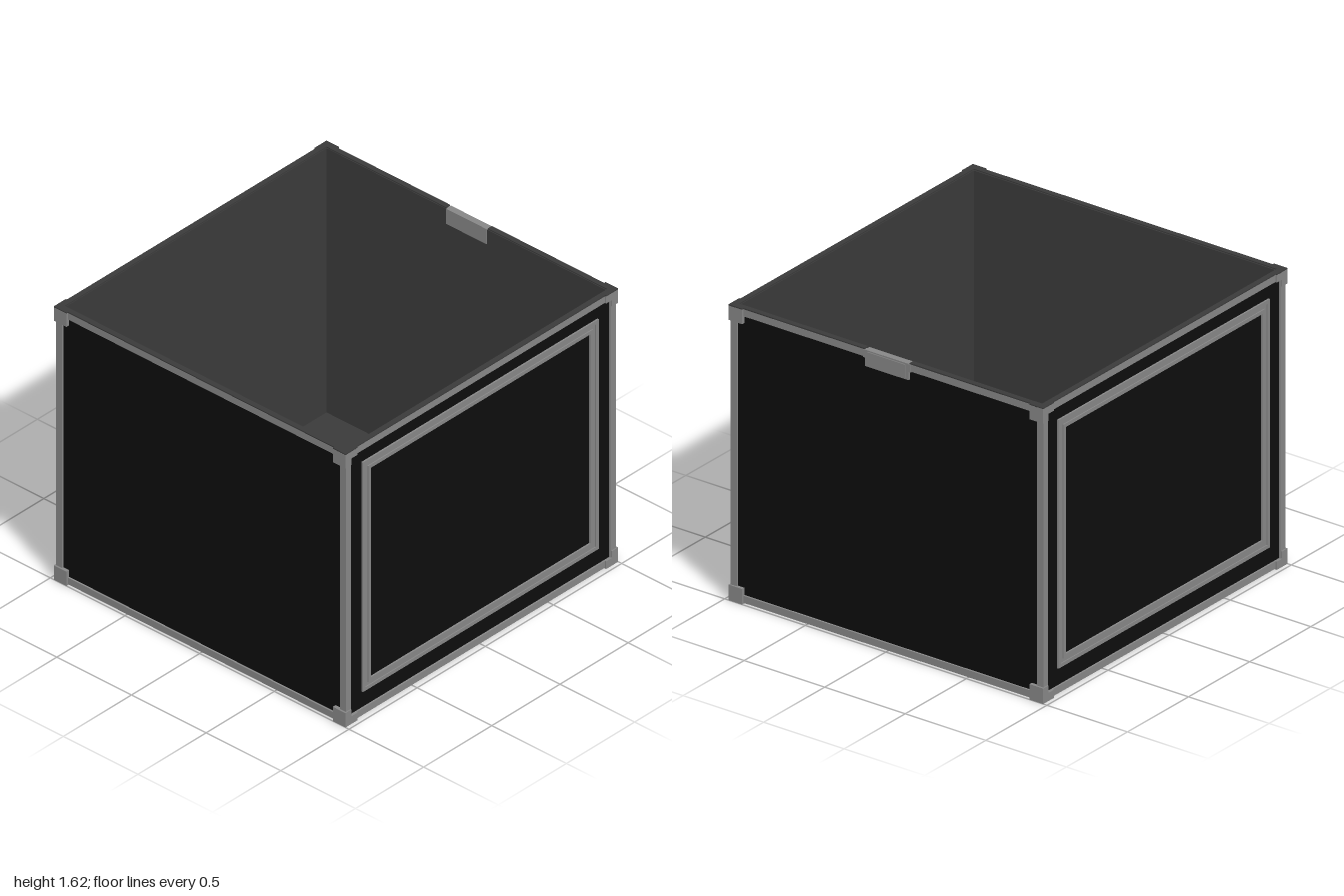
import * as THREE from 'three';

const black = new THREE.MeshStandardMaterial({ color: 0x0d0d0d });
black.name = 'black panel';
const grey = new THREE.MeshStandardMaterial({ color: 0x868686 });
grey.name = 'grey trim';
const dark = new THREE.MeshStandardMaterial({ color: 0x3a3a3a });
dark.name = 'dark lining';

// Box given by its minimum and maximum corners
function box(parent, name, mat, x0, x1, y0, y1, z0, z1) {
  const mesh = new THREE.Mesh(new THREE.BoxGeometry(x1 - x0, y1 - y0, z1 - z0), mat);
  mesh.position.set((x0 + x1) / 2, (y0 + y1) / 2, (z0 + z1) / 2);
  mesh.name = name;
  parent.add(mesh);
  return mesh;
}

// Rectangular ring in the XY plane, its back at z = 0
function ring(name, mat, w, h, border, depth) {
  const rect = (Path, a, b) => new Path([
    new THREE.Vector2(-a, -b), new THREE.Vector2(a, -b),
    new THREE.Vector2(a, b), new THREE.Vector2(-a, b)]);
  const shape = rect(THREE.Shape, w / 2, h / 2);
  shape.holes.push(rect(THREE.Path, w / 2 - border, h / 2 - border));
  const mesh = new THREE.Mesh(new THREE.ExtrudeGeometry(shape, { depth, bevelEnabled: false }), mat);
  mesh.name = name;
  return mesh;
}

export function createModel() {
  const model = new THREE.Group();
  model.name = 'openStorageCase';
  const top = 1.619, bottom = 0.006, mid = (top + bottom) / 2, tall = top - bottom;

  // Outer panels with a dark lining behind them
  for (const s of [-1, 1]) {
    const side = new THREE.Group();
    side.name = s > 0 ? 'leftWall' : 'rightWall';
    box(side, 'sidePanel', black, s * 0.975 - 0.005, s * 0.975 + 0.005, 0.02, 1.612, -0.955, 0.955);
    box(side, 'sideLining', dark, s * 0.965 - 0.005, s * 0.965 + 0.005, 0.03, 1.615, -0.95, 0.95);
    const end = new THREE.Group();
    end.name = s > 0 ? 'frontWall' : 'backWall';
    box(end, 'endPanel', black, -0.975, 0.975, 0.02, 1.612, s * 0.955 - 0.005, s * 0.955 + 0.005);
    box(end, 'endLining', dark, -0.97, 0.97, 0.03, 1.615, s * 0.945 - 0.005, s * 0.945 + 0.005);
    model.add(side, end);
  }
  box(model, 'bottomPanel', black, -0.975, 0.975, 0.016, 0.03, -0.955, 0.955);
  box(model, 'floorLining', dark, -0.965, 0.965, 0.03, 0.045, -0.945, 0.945);

  // Edge rails on the four sides and underneath
  for (const s of [0, 1]) {
    const end = new THREE.Group();
    end.name = s ? 'backTrim' : 'frontTrim';
    end.rotation.y = s * Math.PI;
    const rail = ring('endRails', grey, 1.98, tall, 0.039, 0.018);
    rail.position.set(0, mid, 0.952);
    end.add(rail);
    // Raised window moulding: two ridges with a groove between
    [[1.73, 1.365, 0.02, 0.01], [1.69, 1.325, 0.02, 0.004], [1.65, 1.285, 0.02, 0.01]]
      .forEach(([w, h, b, d]) => {
        const m = ring('panelMoulding', grey, w, h, b, d);
        m.position.set(0, 0.8225, 0.96);
        end.add(m);
      });
    const side = ring('sideRails', grey, 1.94, tall, 0.039, 0.018);
    side.rotation.y = s ? -Math.PI / 2 : Math.PI / 2;
    side.position.set(s ? -0.972 : 0.972, mid, 0);
    model.add(end, side);
  }
  const under = ring('bottomRails', grey, 1.98, 1.94, 0.036, 0.014);
  under.rotation.x = Math.PI / 2;
  under.position.y = 0.02;
  model.add(under);

  // Dark top rim, interrupted at the clasp
  const rim = new THREE.Group();
  rim.name = 'rim';
  box(rim, 'frontRim', dark, -0.99, 0.99, top, 1.625, 0.94, 0.97);
  box(rim, 'backRim', dark, -0.99, 0.99, top, 1.625, -0.97, -0.94);
  box(rim, 'rightRim', dark, -0.99, -0.96, top, 1.625, -0.94, 0.94);
  box(rim, 'leftRimFront', dark, 0.96, 0.99, top, 1.625, 0.14, 0.94);
  box(rim, 'leftRimBack', dark, 0.96, 0.99, top, 1.625, -0.94, -0.14);
  model.add(rim);

  // Corner brackets: square on the sides, L-shaped on front and back
  for (const sx of [-1, 1]) for (const sz of [-1, 1]) for (const upper of [false, true]) {
    const corner = new THREE.Group();
    corner.name = 'cornerBracket';
    const part = (name, mat, x0, x1, y0, y1, z0, z1) => {
      const X = [sx * x0, sx * x1].sort((a, b) => a - b);
      const Z = [sz * z0, sz * z1].sort((a, b) => a - b);
      box(corner, name, mat, X[0], X[1], y0, y1, Z[0], Z[1]);
    };
    const y0 = upper ? 1.54 : 0, y1 = upper ? 1.62 : 0.085;
    part('sidePlate', grey, 0.975, 1, y0, y1, 0.892, 0.977);
    part('uprightArm', grey, 0.955, 0.998, y0, y1, 0.955, 0.977);
    part('levelArm', grey, 0.912, 0.998, upper ? 1.578 : 0, upper ? 1.62 : 0.045, 0.955, 0.977);
    if (upper) {
      part('endCap', dark, 0.912, 1, top, 1.625, 0.94, 0.977);
      part('sideCap', dark, 0.96, 1, top, 1.625, 0.892, 0.977);
    }
    model.add(corner);
  }

  // Clasp hooked over the left wall
  const clasp = new THREE.Group();
  clasp.name = 'clasp';
  box(clasp, 'claspBody', grey, 0.956, 0.993, 1.53, 1.62, -0.135, 0.135);
  box(clasp, 'claspPlate', grey, 0.99, 0.997, 1.54, 1.612, -0.118, 0.118);
  box(clasp, 'claspShoulders', grey, 0.975, 0.992, 1.575, 1.618, -0.148, 0.148);
  model.add(clasp);

  return model;
}
